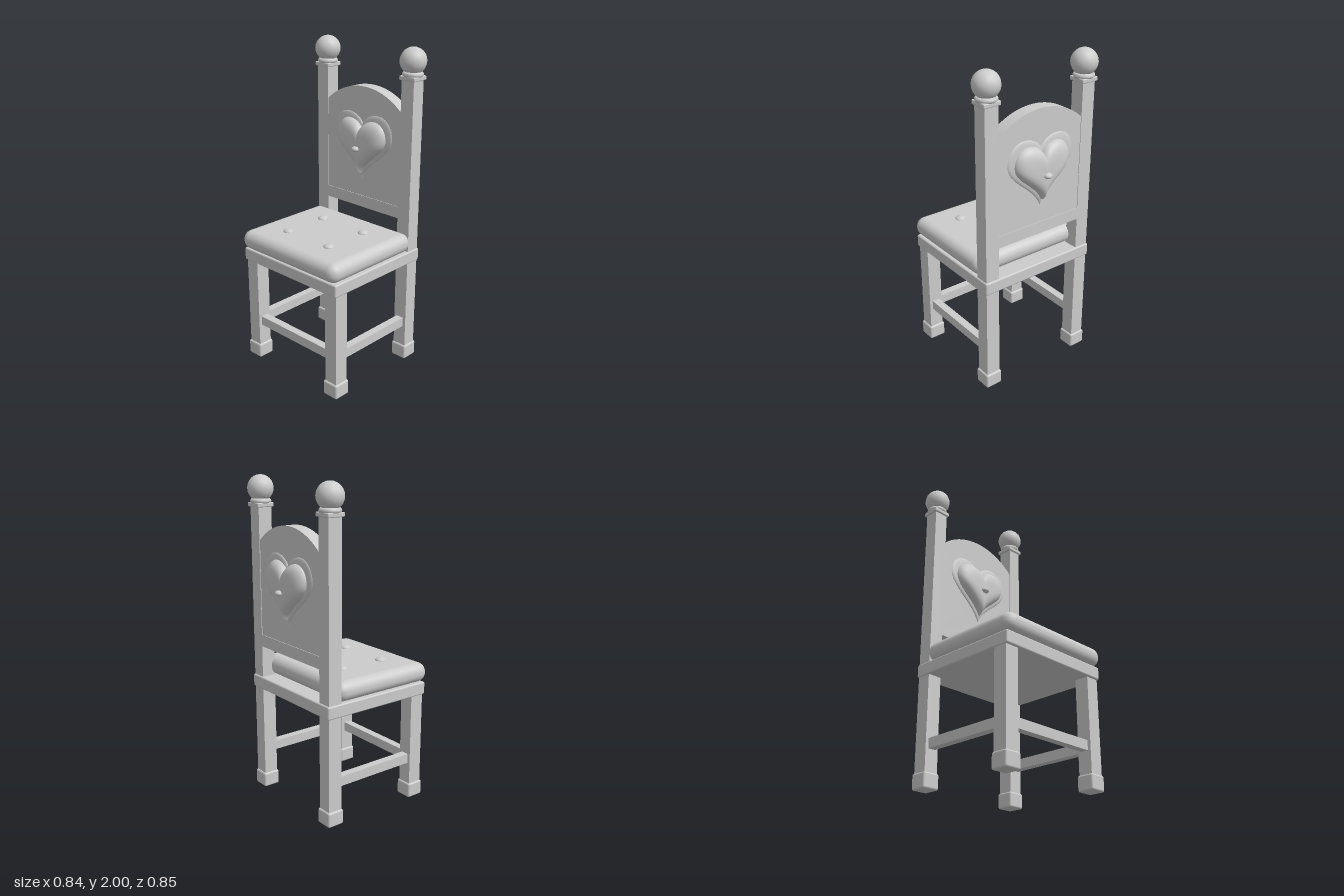
import * as THREE from 'three';
import { RoundedBoxGeometry } from 'three/addons/geometries/RoundedBoxGeometry.js';
import { ParametricGeometry } from 'three/addons/geometries/ParametricGeometry.js';

const LEG_X = 0.342, FRONT_Z = 0.345, BACK_Z = -0.29, HEART_Y = 1.35;

// Right half of the heart outline, from the top notch to the lower tip
function heartOutline() {
  const path = new THREE.Path();
  path.moveTo(0, 0.155);
  path.bezierCurveTo(0.025, 0.195, 0.075, 0.215, 0.12, 0.215);
  path.bezierCurveTo(0.185, 0.215, 0.235, 0.16, 0.235, 0.09);
  path.bezierCurveTo(0.235, -0.02, 0.05, -0.08, 0, -0.205);
  return path;
}

// One half of a domed heart; the halves meet in a crease at x = 0
function heartHalf(outline, scale, base, height, side) {
  const p = new THREE.Vector2();
  const geometry = new ParametricGeometry((u, v, target) => {
    const s = Math.sin(v * Math.PI / 2);
    outline.getPoint(side > 0 ? u : 1 - u, p);
    const z = base + height * Math.sqrt(Math.max(0, 1 - s ** 4));
    target.set(side * p.x * s * scale, p.y * s * scale, z);
  }, 48, 12);
  geometry.computeVertexNormals();
  return geometry;
}

export function createModel() {
  const model = new THREE.Group();
  model.name = 'chair';
  const grey = new THREE.MeshStandardMaterial({ color: 0xcccccc });
  grey.name = 'light grey';

  function add(name, geometry, x = 0, y = 0, z = 0, parent = model) {
    const mesh = new THREE.Mesh(geometry, grey);
    mesh.name = name;
    mesh.position.set(x, y, z);
    parent.add(mesh);
    return mesh;
  }
  const box = (w, h, d) => new THREE.BoxGeometry(w, h, d);
  const rounded = (w, h, d, r, n = 2) => new RoundedBoxGeometry(w, h, d, n, r);

  // Seat
  add('seatFrame', rounded(0.79, 0.08, 0.75, 0.01), 0, 0.715, 0.03);
  add('cushion', rounded(0.804, 0.122, 0.695, 0.058, 5), 0, 0.814, 0.08);
  for (const x of [-0.173, 0.173]) {
    for (const z of [-0.07, 0.23]) {
      add('cushionButton', new THREE.SphereGeometry(0.034, 16, 10), x, 0.874, z).scale.y = 0.55;
    }
  }

  // Legs, feet, side stretchers and post finials
  const collar = new THREE.LatheGeometry(
    [[0, -0.016], [0.054, -0.016], [0.061, -0.009], [0.064, 0], [0.061, 0.009], [0.054, 0.016], [0, 0.016]]
      .map(([r, y]) => new THREE.Vector2(r, y)), 20);
  for (const side of [-1, 1]) {
    const x = side * LEG_X;
    add('frontLeg', box(0.09, 0.67, 0.09), x, 0.365, FRONT_Z);
    add('backPost', box(0.09, 1.79, 0.09), x, 0.925, BACK_Z);
    for (const z of [FRONT_Z, BACK_Z]) add('foot', rounded(0.11, 0.095, 0.11, 0.012), x, 0.0475, z);
    add('sideStretcher', box(0.05, 0.06, 0.56), x, 0.26, 0.0275);
    add('postCap', rounded(0.114, 0.026, 0.114, 0.006), x, 1.823, BACK_Z);
    add('collar', collar, x, 1.844, BACK_Z);
    add('finialBall', new THREE.SphereGeometry(0.08, 16, 12), x, 1.92, BACK_Z);
  }
  add('frontStretcher', box(0.6, 0.06, 0.05), 0, 0.26, FRONT_Z);

  // Backrest: lower rail and arched panel
  add('backRail', box(0.6, 0.075, 0.09), 0, 0.9925, BACK_Z);
  const arch = new THREE.Shape();
  const radius = 0.441, angle = Math.acos(0.298 / radius);
  arch.moveTo(-0.298, 1.02);
  arch.lineTo(0.298, 1.02);
  arch.absarc(0, 1.73 - radius, radius, angle, Math.PI - angle, false);
  arch.closePath();
  add('backPanel', new THREE.ExtrudeGeometry(arch, { depth: 0.082, bevelEnabled: false, curveSegments: 20 }),
    0, 0, BACK_Z - 0.041);

  // Heart ornament on both faces of the panel
  const outline = heartOutline();
  for (const turn of [0, Math.PI]) {
    const heart = new THREE.Group();
    heart.name = turn ? 'backHeart' : 'frontHeart';
    heart.position.set(0, HEART_Y, BACK_Z);
    heart.rotation.y = turn;
    for (const side of [-1, 1]) {
      add('heartRim', heartHalf(outline, 1, 0.04, 0.016, side), 0, 0, 0, heart);
      add('heartPad', heartHalf(outline, 0.825, 0.042, 0.066, side), 0, 0, 0, heart);
    }
    add('heartButton', new THREE.SphereGeometry(0.027, 16, 10), 0, 0, 0.108, heart).scale.y = 0.65;
    model.add(heart);
  }
  return model;
}
